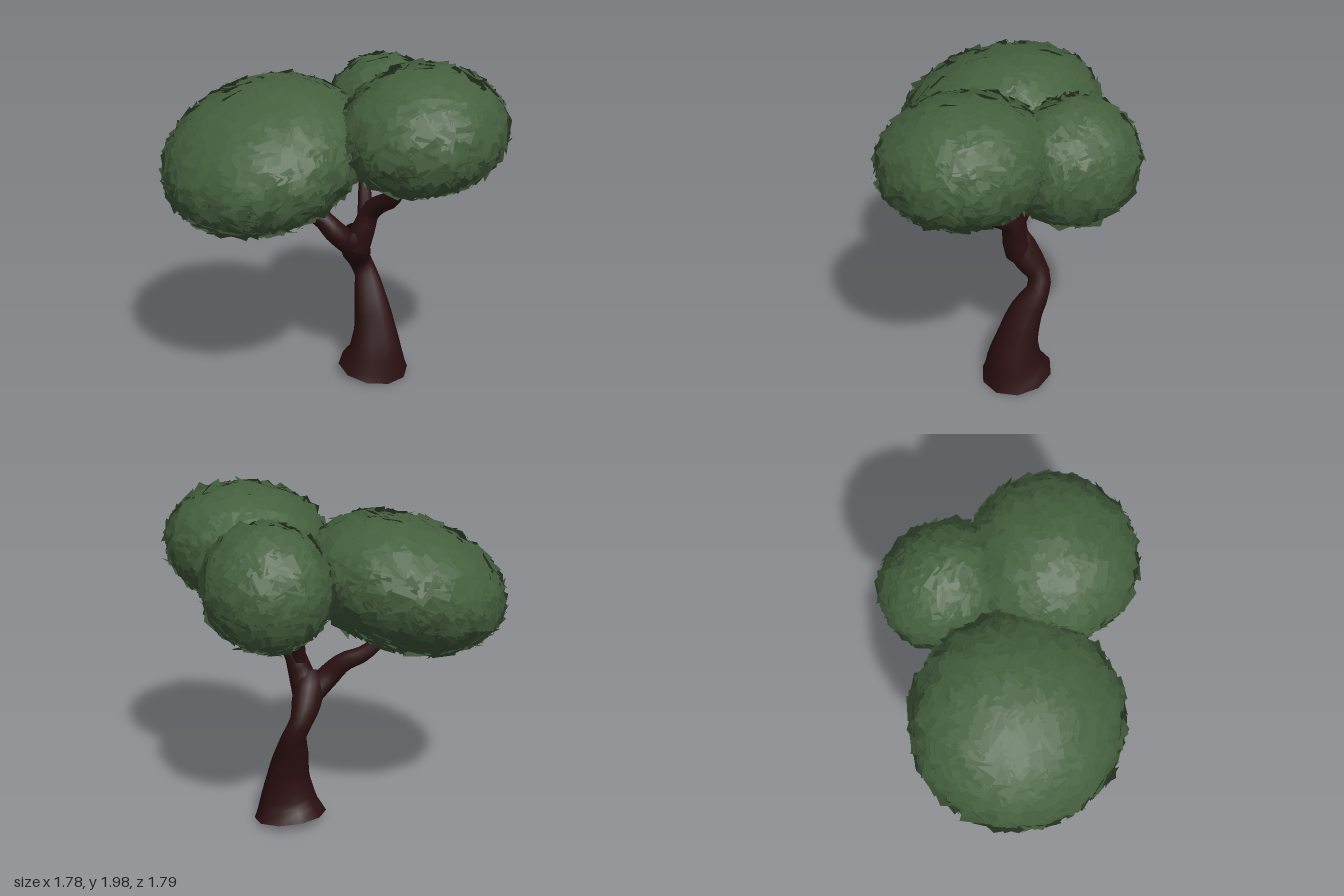
import * as THREE from 'three';
import { mergeVertices } from 'three/addons/utils/BufferGeometryUtils.js';

const SIDES = 10;

// Small seeded random generator
function makeRandom(seed) {
  let s = seed;
  return () => {
    s = (s * 1664525 + 1013904223) % 4294967296;
    return s / 4294967296;
  };
}

// Tapered limb through points [x, y, z, radius]
function limbGeometry(points, segments) {
  const curve = new THREE.CatmullRomCurve3(points.map(([x, y, z]) => new THREE.Vector3(x, y, z)));
  const geo = new THREE.TubeGeometry(curve, segments, 1, SIDES);
  const pos = geo.attributes.position;
  const v = new THREE.Vector3();
  for (let i = 0; i <= segments; i++) {
    const centre = curve.getPointAt(i / segments);
    const t = curve.getUtoTmapping(i / segments) * (points.length - 1);
    const k = Math.min(Math.floor(t), points.length - 2);
    const radius = THREE.MathUtils.lerp(points[k][3], points[k + 1][3], t - k);
    for (let j = 0; j <= SIDES; j++) {
      const n = i * (SIDES + 1) + j;
      v.fromBufferAttribute(pos, n).sub(centre).multiplyScalar(radius).add(centre);
      pos.setXYZ(n, v.x, v.y, v.z);
    }
  }
  geo.deleteAttribute('uv');
  geo.deleteAttribute('normal');
  const welded = mergeVertices(geo, 1e-4);
  welded.computeVertexNormals();
  return { geo: welded, ring: Array.from({ length: SIDES }, (_, j) => new THREE.Vector3().fromBufferAttribute(pos, j)) };
}

// Leaf clump: square cards lying loosely on a tilted ellipsoid
function clumpGeometry({ centre, radii, pitch, count, seed }) {
  const rand = makeRandom(seed);
  const rotation = new THREE.Quaternion().setFromAxisAngle(new THREE.Vector3(1, 0, 0), pitch);
  const c = new THREE.Vector3(...centre);
  const r = new THREE.Vector3(...radii);
  const zAxis = new THREE.Vector3(0, 0, 1);
  const q = new THREE.Quaternion();
  const positions = [], normals = [], index = [];
  for (let i = 0; i < count; i++) {
    const y = 1 - 2 * (i + 0.5) / count;
    const a = i * 2.399963 + rand() * 0.3;
    const s = Math.sqrt(1 - y * y);
    const dir = new THREE.Vector3(Math.cos(a) * s, y, Math.sin(a) * s);
    const normal = dir.clone().divide(r).normalize().applyQuaternion(rotation);
    const spot = dir.multiply(r).multiplyScalar(0.97 + rand() * 0.04).applyQuaternion(rotation).add(c);
    // Tilt each card a little away from the surface
    const lean = new THREE.Vector3(rand() - 0.5, rand() - 0.5, rand() - 0.5).multiplyScalar(0.75);
    q.setFromUnitVectors(zAxis, normal.clone().add(lean).normalize());
    const half = 0.05 + rand() * 0.018;
    const spin = rand() * Math.PI * 2;
    for (let k = 0; k < 4; k++) {
      const b = spin + k * Math.PI / 2;
      const corner = new THREE.Vector3(Math.cos(b), Math.sin(b), 0)
        .multiplyScalar(half * Math.SQRT2).applyQuaternion(q).add(spot);
      positions.push(corner.x, corner.y, corner.z);
      normals.push(normal.x, normal.y, normal.z);
    }
    const n = i * 4;
    index.push(n, n + 1, n + 2, n, n + 2, n + 3);
  }
  const geo = new THREE.BufferGeometry();
  geo.setAttribute('position', new THREE.Float32BufferAttribute(positions, 3));
  geo.setAttribute('normal', new THREE.Float32BufferAttribute(normals, 3));
  geo.setIndex(index);
  return geo;
}

export function createModel() {
  const tree = new THREE.Group();
  tree.name = 'tree';
  const bark = new THREE.MeshStandardMaterial({ color: 0x2b1011, side: THREE.DoubleSide });
  bark.name = 'dark bark';
  const leaf = new THREE.MeshStandardMaterial({ color: 0x455f3e, side: THREE.DoubleSide });
  leaf.name = 'leaf green';

  const add = (name, geo, material) => {
    const mesh = new THREE.Mesh(geo, material);
    mesh.name = name;
    tree.add(mesh);
  };

  // Twisting trunk with a flared foot
  const trunk = limbGeometry([
    [0.03, 0.035, -0.265, 0.212], [0.045, 0.12, -0.265, 0.172], [0.03, 0.3, -0.275, 0.122],
    [-0.015, 0.45, -0.285, 0.1], [-0.085, 0.6, -0.31, 0.068], [-0.11, 0.68, -0.285, 0.066],
    [-0.08, 0.77, -0.225, 0.088], [-0.04, 0.88, -0.17, 0.095], [-0.02, 0.94, -0.16, 0.05],
  ], 20);
  add('trunk', trunk.geo, bark);

  // Underside of the trunk
  const base = new THREE.BufferGeometry().setFromPoints(trunk.ring);
  const fan = [];
  for (let j = 1; j < SIDES - 1; j++) fan.push(0, j, j + 1);
  base.setIndex(fan);
  base.computeVertexNormals();
  add('trunkBase', base, bark);

  // Branches reaching into each clump
  const branches = {
    frontBranch: [[-0.06, 0.8, -0.19, 0.07], [-0.1, 0.92, -0.07, 0.066], [-0.16, 1.0, -0.02, 0.055],
      [-0.24, 1.06, 0.07, 0.045], [-0.32, 1.2, 0.2, 0.03]],
    sideBranch: [[-0.04, 0.82, -0.19, 0.085], [0.01, 0.94, -0.2, 0.07], [0.03, 1.03, -0.22, 0.06],
      [0.1, 1.1, -0.225, 0.055], [0.23, 1.18, -0.215, 0.05], [0.28, 1.28, -0.2, 0.04], [0.32, 1.45, -0.22, 0.025]],
    backBranch: [[0.01, 0.98, -0.21, 0.045], [-0.02, 1.1, -0.235, 0.04], [-0.06, 1.22, -0.28, 0.035],
      [-0.1, 1.4, -0.4, 0.02]],
  };
  for (const [name, points] of Object.entries(branches)) add(name, limbGeometry(points, 14).geo, bark);

  // Three leaf clumps
  const clumps = {
    frontLeaves: { centre: [-0.28, 1.44, 0.31], radii: [0.575, 0.365, 0.57], pitch: 0.38, count: 1300, seed: 11 },
    sideLeaves: { centre: [0.4, 1.61, -0.27], radii: [0.455, 0.335, 0.455], pitch: 0.17, count: 950, seed: 29 },
    backLeaves: { centre: [-0.14, 1.54, -0.53], radii: [0.355, 0.335, 0.325], pitch: 0.0, count: 700, seed: 53 },
  };
  for (const [name, spec] of Object.entries(clumps)) add(name, clumpGeometry(spec), leaf);

  return tree;
}
